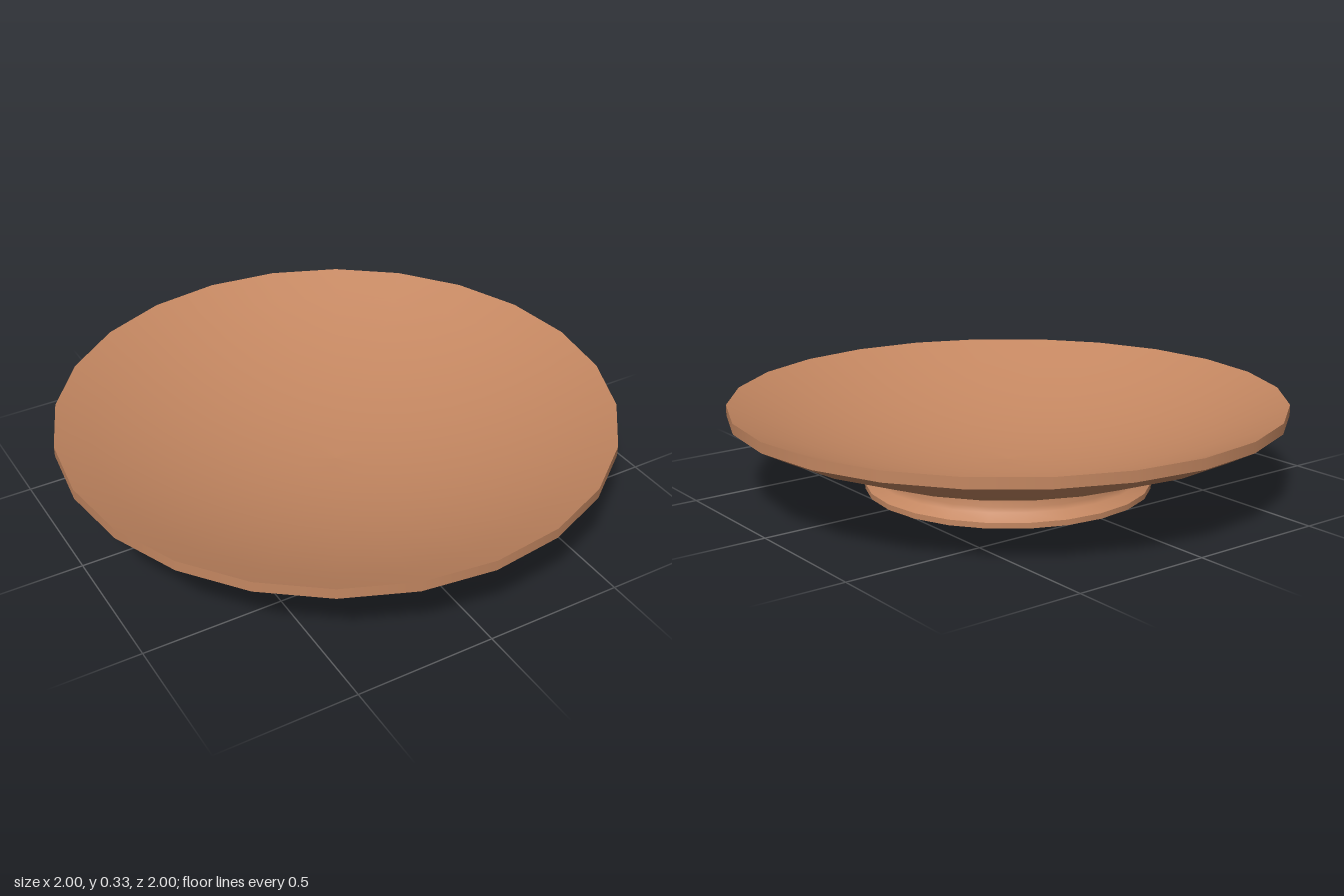
import * as THREE from 'three';

const SIDES = 24;

export function createModel() {
  const clay = new THREE.MeshStandardMaterial({ color: 0xc48761 });
  clay.name = 'terracotta';

  const dish = new THREE.Group();
  dish.name = 'footedDish';

  // One smooth turned surface; separate surfaces meet in a sharp edge
  function turn(parent, name, profile) {
    const points = profile.map(([r, y]) => new THREE.Vector2(r, y));
    const mesh = new THREE.Mesh(new THREE.LatheGeometry(points, SIDES), clay);
    mesh.name = name;
    parent.add(mesh);
  }

  // Foot: flat base, thin band and a flare up to the neck
  const foot = new THREE.Group();
  foot.name = 'foot';
  turn(foot, 'footBase', [[0, 0], [0.52, 0]]);
  turn(foot, 'footBand', [[0.52, 0], [0.52, 0.02]]);
  turn(foot, 'footFlare', [[0.52, 0.02], [0.487, 0.045], [0.478, 0.062], [0.476, 0.097]]);

  // Bowl: curved underside, upright rim and shallow curved inside
  const bowl = new THREE.Group();
  bowl.name = 'bowl';
  turn(bowl, 'bowlUnderside', [[0.476, 0.097], [0.63, 0.134], [0.9, 0.235], [1, 0.288]]);
  turn(bowl, 'bowlRim', [[1, 0.288], [1, 0.326]]);
  const inside = [];
  for (let i = 8; i >= 0; i--) {
    const r = i / 8;
    inside.push([r, 0.09 + 0.236 * r * r]);
  }
  turn(bowl, 'bowlInside', inside);

  dish.add(foot, bowl);
  return dish;
}
